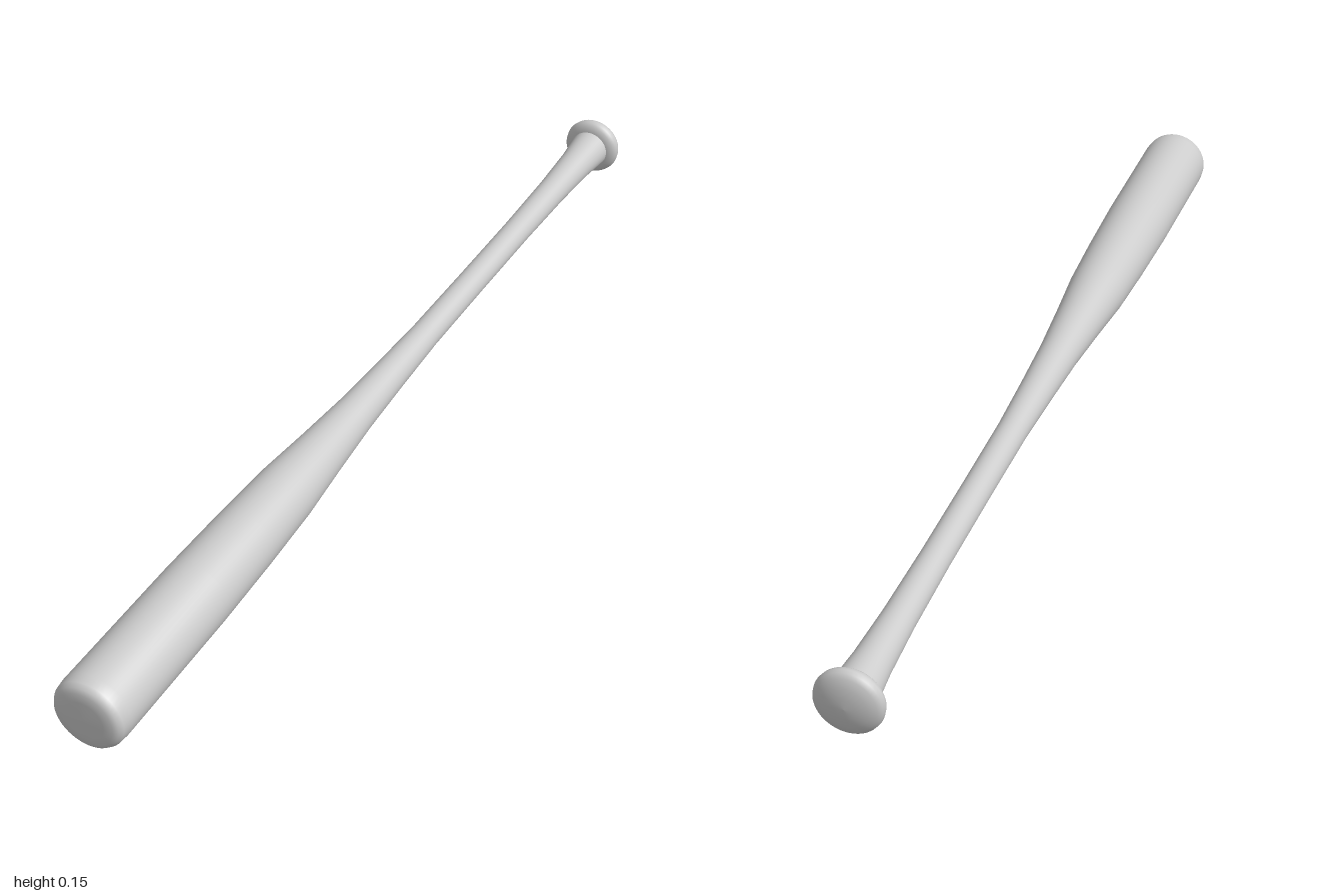
import * as THREE from 'three';

const material = new THREE.MeshStandardMaterial({ color: 0xcccccc });

// Turned part from [position along axis, radius] pairs
function turned(name, profile) {
  const points = profile.map(([t, r]) => new THREE.Vector2(r, t));
  const mesh = new THREE.Mesh(new THREE.LatheGeometry(points, 48), material);
  mesh.name = name;
  return mesh;
}

export function createModel() {
  const group = new THREE.Group();
  group.name = 'baseballBat';

  // Barrel with a softly rounded end, tapering through the throat
  const barrel = turned('barrel', [
    [-1.084, 0], [-1.083, 0.04], [-1.08, 0.057], [-1.075, 0.066], [-1.066, 0.0715],
    [-1.045, 0.0735], [-0.72, 0.072], [-0.55, 0.068], [-0.39, 0.062],
    [-0.25, 0.051], [-0.11, 0.0415], [0.04, 0.0355], [0.2, 0.0305],
  ]);

  // Slim grip flaring into the knob
  const handle = turned('handle', [
    [0.2, 0.0305], [0.42, 0.0295], [0.65, 0.0295], [0.84, 0.032], [0.97, 0.037], [1.055, 0.044],
  ]);

  // Lens-shaped knob with a domed butt
  const knob = turned('knob', [
    [1.05, 0.03], [1.052, 0.046], [1.057, 0.057], [1.064, 0.063], [1.072, 0.065],
    [1.08, 0.063], [1.087, 0.055], [1.093, 0.04], [1.097, 0.02], [1.098, 0],
  ]);

  // Lay the bat down and swing it across the ground plane
  const bat = new THREE.Group();
  bat.name = 'bat';
  bat.add(barrel, handle, knob);
  bat.rotation.set(0, THREE.MathUtils.degToRad(26.1), -Math.PI / 2);
  bat.position.set(0, 0.0735, -0.003);
  group.add(bat);
  return group;
}
